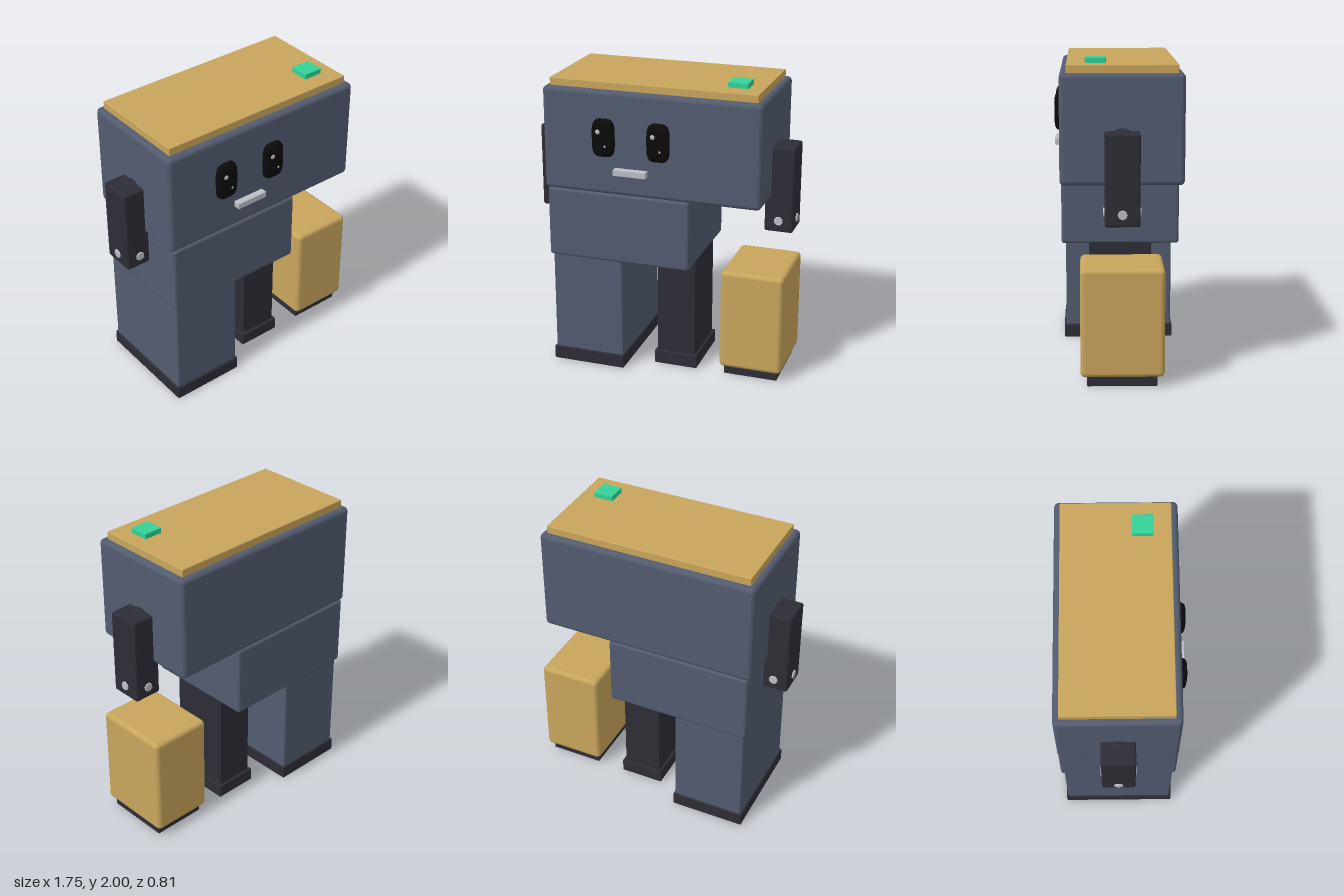
import * as THREE from 'three';
import { RoundedBoxGeometry } from 'three/addons/geometries/RoundedBoxGeometry.js';

const mat = (name, color) => {
  const m = new THREE.MeshStandardMaterial({ color });
  m.name = name;
  return m;
};

export function createModel() {
  const slate = mat('slate blue', 0x525b6f);
  const gold = mat('tan gold', 0xc8a55c);
  const dark = mat('charcoal', 0x2e2d36);
  const black = mat('eye black', 0x0b0b0b);
  const silver = mat('silver', 0xbcbec6);
  const green = mat('green', 0x34d399);

  const root = new THREE.Group();
  root.name = 'blockRobot';

  const add = (name, geometry, material, x = 0, y = 0, z = 0, parent = root) => {
    const m = new THREE.Mesh(geometry, material);
    m.name = name;
    m.position.set(x, y, z);
    parent.add(m);
    return m;
  };
  // Rounded box given by its min/max on each axis
  const box = (name, material, [x0, x1], [y0, y1], [z0, z1], r, parent = root) =>
    add(name, new RoundedBoxGeometry(x1 - x0, y1 - y0, z1 - z0, 3, r), material,
      (x0 + x1) / 2, (y0 + y1) / 2, (z0 + z1) / 2, parent);

  // Head, torso and roof panel
  box('head', slate, [-0.723, 0.72], [1.235, 1.915], [-0.405, 0.357], 0.03);
  box('torso', slate, [-0.705, 0.257], [0.77, 1.24], [-0.403, 0.357], 0.02);
  box('roofPanel', gold, [-0.685, 0.682], [1.9, 1.965], [-0.367, 0.315], 0.006);
  box('roofButton', green, [0.455, 0.585], [1.955, 2.0], [0.073, 0.2], 0.004);

  // Wide leg, narrow leg and the separate block, each on its sole
  box('wideLeg', slate, [-0.687, -0.205], [0.08, 0.79], [-0.383, 0.337], 0.012);
  box('wideFoot', dark, [-0.697, -0.197], [0, 0.092], [-0.392, 0.35], 0.008);
  box('narrowLeg', dark, [-0.012, 0.25], [0.08, 0.79], [-0.225, 0.18], 0.008);
  box('narrowFoot', dark, [-0.03, 0.268], [0, 0.092], [-0.243, 0.198], 0.008);
  box('sideBlock', gold, [0.433, 0.852], [0.063, 0.748], [-0.283, 0.235], 0.03);
  box('sideBlockBase', dark, [0.46, 0.82], [0, 0.08], [-0.24, 0.195], 0.006);

  // Arms with shoulder joints and wrist bolts
  const boltGeo = new THREE.CylinderGeometry(0.028, 0.033, 0.016, 8);
  for (const s of [1, -1]) {
    const arm = new THREE.Group();
    arm.name = s > 0 ? 'leftArm' : 'rightArm';
    arm.position.set(s * 0.772, 0, -0.022);
    root.add(arm);
    box('armBlock', dark, [-0.093, 0.093], [1.01, 1.572], [-0.107, 0.107], 0.014, arm);
    add('shoulder', new THREE.SphereGeometry(0.09, 20, 14), dark, -s * 0.05, 1.497, 0, arm);
    for (const d of [1, -1]) {
      const face = add('wristBolt', boltGeo, silver, 0, 1.085, d * 0.107, arm);
      face.rotation.set(d * Math.PI / 2, Math.PI / 8, 0);
    }
    const side = add('wristBoltOuter', boltGeo, silver, s * 0.093, 1.085, 0, arm);
    side.rotation.z = -s * Math.PI / 2;
  }

  // Squarish eye: a sphere pushed towards a box
  const eyeGeo = new THREE.SphereGeometry(1, 32, 24);
  const p = eyeGeo.attributes.position;
  const push = (v) => Math.sign(v) * Math.abs(v);
  for (let i = 0; i < p.count; i++) {
    const x = p.getX(i), y = p.getY(i), z = p.getZ(i);
    const n = Math.pow(x ** 4 + y ** 4 + z ** 4, 0.25);
    p.setXYZ(i, push(x / n) * 0.074, push(y / n) * 0.124, push(z / n) * 0.045);
  }
  eyeGeo.computeVertexNormals();

  const glintGeo = new THREE.SphereGeometry(1, 12, 8);
  for (const x of [-0.306, 0.058]) {
    add('eye', eyeGeo, black, x, 1.615, 0.355);
    add('eyeGlint', glintGeo, silver, x - 0.025, 1.66, 0.397).scale.set(0.017, 0.017, 0.007);
    add('eyeGlintSmall', glintGeo, silver, x + 0.021, 1.568, 0.397).scale.set(0.008, 0.01, 0.006);
  }

  // Mouth bar
  box('mouth', silver, [-0.235, -0.015], [1.38, 1.422], [0.34, 0.4], 0.004);

  return root;
}
